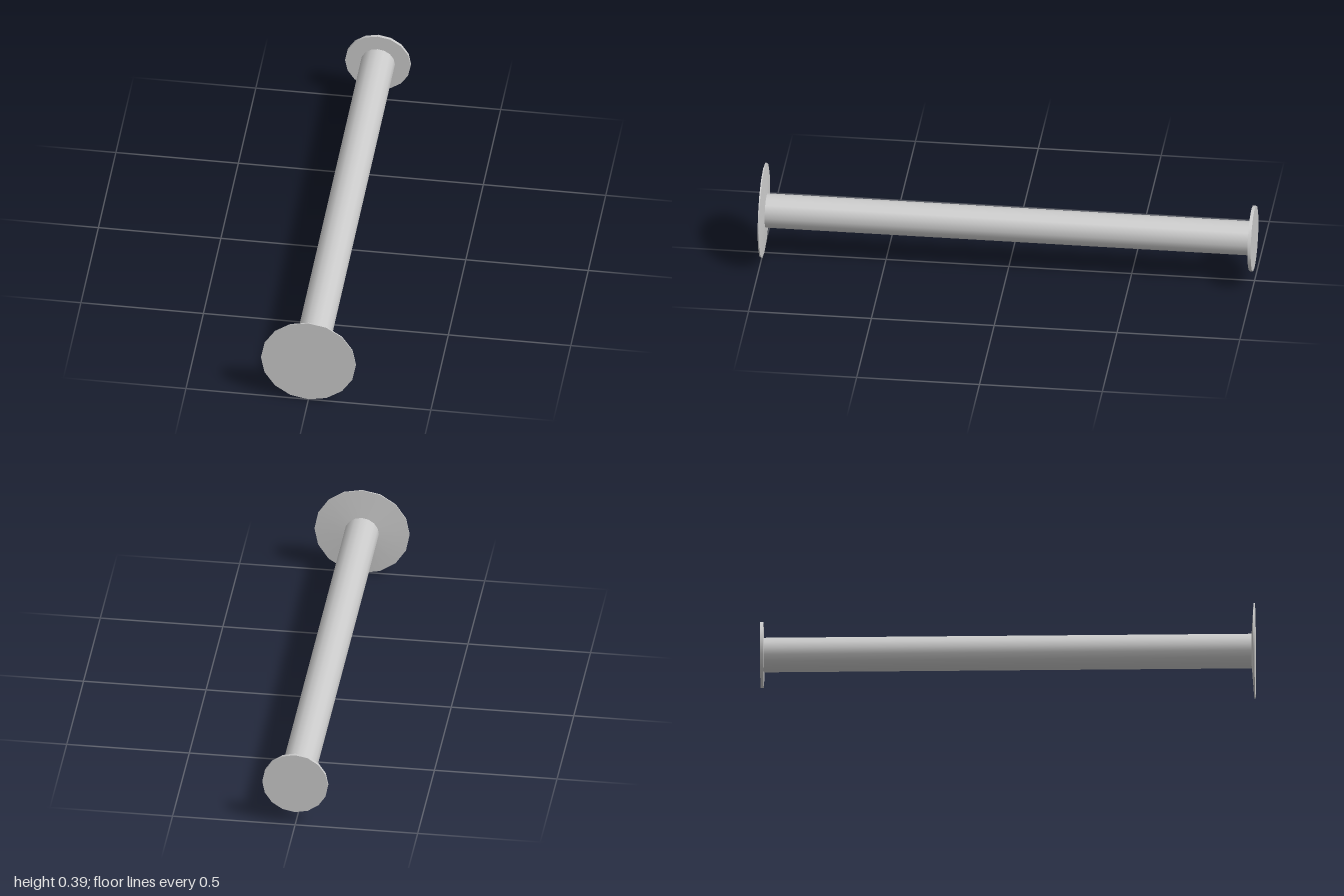
import * as THREE from 'three';

const SIDES = 16;
const AXIS_Y = 0.194;

export function createModel() {
  const model = new THREE.Group();
  const material = new THREE.MeshStandardMaterial({ color: 0xcccccc });

  // Round section along z, from zBack to zFront
  function section(name, rBack, rFront, zBack, zFront, open = false) {
    const geometry = new THREE.CylinderGeometry(rFront, rBack, zFront - zBack, SIDES, 1, open);
    geometry.rotateX(Math.PI / 2);
    const mesh = new THREE.Mesh(geometry, material);
    mesh.name = name;
    mesh.position.set(0, AXIS_Y, (zBack + zFront) / 2);
    return mesh;
  }

  // Long straight shank
  model.add(section('shank', 0.07, 0.07, -0.99, 0.99, true));

  // Wide front head: a shallow cone swelling out to a thin rim
  const head = new THREE.Group();
  head.name = 'frontHead';
  head.add(section('headUnderside', 0.07, 0.194, 0.986, 0.995, true));
  head.add(section('headRim', 0.194, 0.194, 0.995, 1));
  model.add(head);

  // Smaller flat disc closing the back end
  model.add(section('backFlange', 0.134, 0.134, -1, -0.987));

  return model;
}
